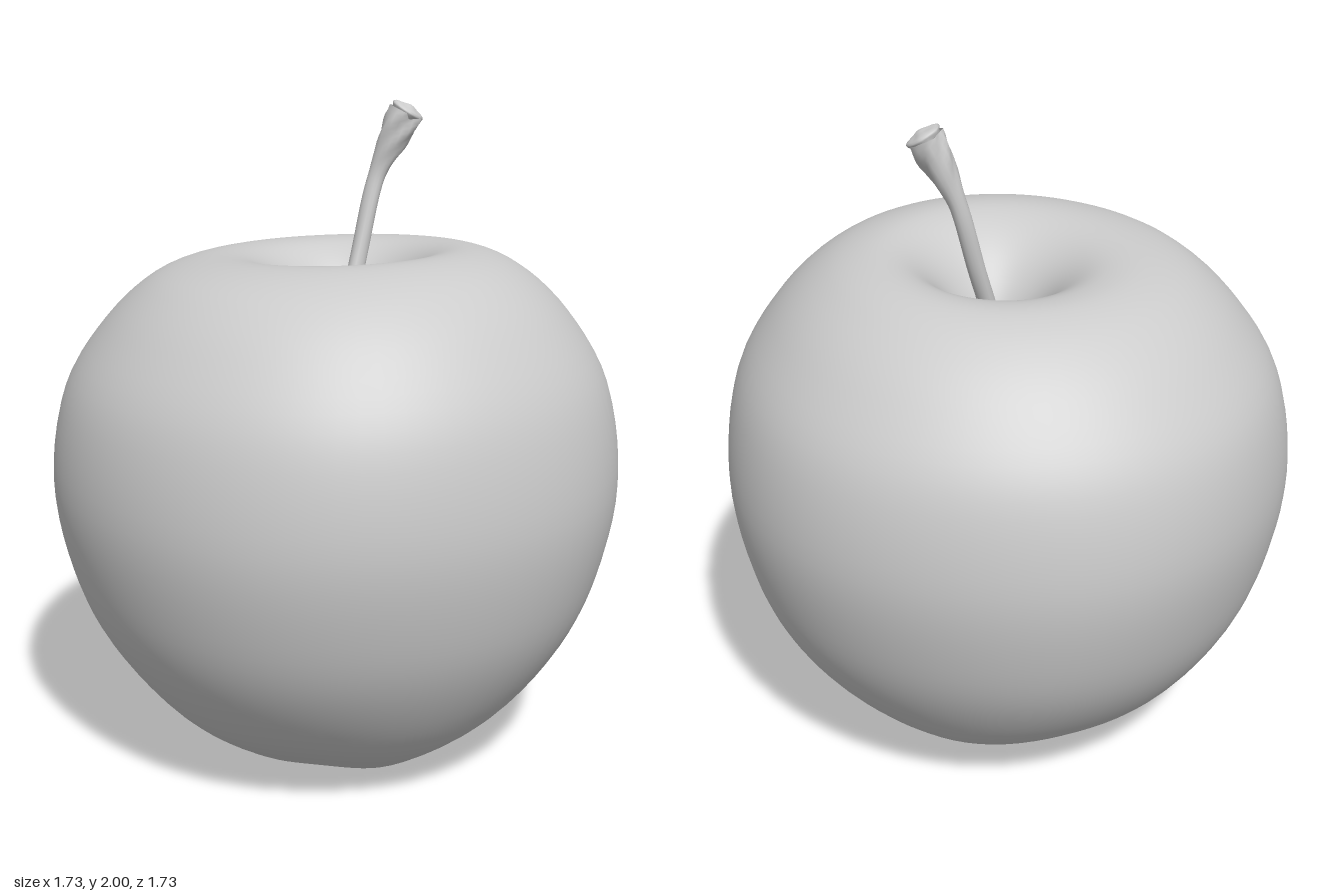
import * as THREE from 'three';
import { mergeVertices } from 'three/addons/utils/BufferGeometryUtils.js';

const grey = new THREE.MeshStandardMaterial({ color: 0xcccccc, side: THREE.DoubleSide });
const v2 = (x, y) => new THREE.Vector2(x, y);
const v3 = (x, y, z) => new THREE.Vector3(x, y, z);

// Moves every vertex by a rule, then welds seams for smooth normals
function reshape(geometry, rule) {
  const pos = geometry.attributes.position;
  const p = v3(0, 0, 0);
  for (let i = 0; i < pos.count; i++) {
    p.fromBufferAttribute(pos, i);
    rule(p, i);
    pos.setXYZ(i, p.x, p.y, p.z);
  }
  geometry.deleteAttribute('uv');
  geometry.deleteAttribute('normal');
  const welded = mergeVertices(geometry, 1e-4);
  welded.computeVertexNormals();
  return welded;
}

function add(group, name, geometry) {
  const mesh = new THREE.Mesh(geometry, grey);
  mesh.name = name;
  group.add(mesh);
  return mesh;
}

// Fruit: lathed profile from the lower hollow to the stem hollow
function fruitGeometry() {
  const profile = new THREE.SplineCurve([
    v2(0, 0.13), v2(0.07, 0.12), v2(0.13, 0.07), v2(0.2, 0.025), v2(0.27, 0.015),
    v2(0.37, 0.055), v2(0.57, 0.2), v2(0.73, 0.41), v2(0.82, 0.63), v2(0.863, 0.9),
    v2(0.82, 1.18), v2(0.7, 1.38), v2(0.56, 1.51), v2(0.42, 1.565), v2(0.3, 1.56),
    v2(0.2, 1.5), v2(0.12, 1.4), v2(0.06, 1.27), v2(0, 1.22),
  ]).getPoints(90);
  profile[0].x = profile[profile.length - 1].x = 0;
  return reshape(new THREE.LatheGeometry(profile, 80), (p) => {
    const r = Math.hypot(p.x, p.z);
    const a = Math.atan2(p.z, p.x);
    const top = THREE.MathUtils.smoothstep(p.y, 1.0, 1.5);
    const low = 1 - THREE.MathUtils.smoothstep(p.y, 0.05, 0.5);
    const rim = Math.min(1, r / 0.35);
    // Uneven shoulder, highest towards the left front
    p.y += top * rim * 0.022 * Math.cos(a - 0.5);
    // Soft lobes and a radially puckered base
    p.y += low * rim * (0.008 * Math.cos(5 * a) - 0.012 * Math.cos(a));
    const pucker = Math.exp(-(((r - 0.14) / 0.05) ** 2)) * low;
    p.y += pucker * 0.009 * Math.cos(10 * a + Math.sin(3 * a));
    const swell = 1 + 0.006 * Math.sin(5 * a + 2 * p.y) * Math.sin(Math.PI * Math.min(1, p.y / 1.6));
    p.x *= swell;
    p.z *= swell;
    // The stem hollow sits slightly behind the centre
    if (p.y > 1.1) p.z -= 0.08 * Math.max(0, 1 - r / 0.55);
  });
}

// Stem: tube along a curve, flaring to a rough cut end
function stemGeometry() {
  const path = new THREE.CatmullRomCurve3([
    v3(-0.01, 1.19, -0.05), v3(-0.012, 1.38, -0.105), v3(0, 1.57, -0.17),
    v3(0.025, 1.77, -0.225), v3(0.065, 1.88, -0.25), v3(0.1, 1.965, -0.27),
  ]);
  const rings = 48, sides = 16;
  return reshape(new THREE.TubeGeometry(path, rings, 1, sides), (p, i) => {
    const t = Math.floor(i / (sides + 1)) / rings;
    const a = ((i % (sides + 1)) / sides) * Math.PI * 2;
    const flare = THREE.MathUtils.smoothstep(t, 0.72, 0.98);
    const base = 1 - THREE.MathUtils.smoothstep(t, 0, 0.25);
    const bumps = 1 + 0.05 * Math.sin(3 * a + 9 * t) + 0.1 * flare * Math.sin(5 * a + 40 * t);
    const radius = (0.026 + 0.026 * flare + 0.012 * base) * bumps;
    const c = path.getPointAt(t);
    p.sub(c).multiplyScalar(radius).add(c);
  });
}

// Knobbly cap closing the cut end
function stemTipGeometry() {
  return reshape(new THREE.SphereGeometry(0.05, 20, 14), (p) => {
    p.multiplyScalar(1 + 0.09 * Math.sin(110 * p.x + 1) * Math.cos(95 * p.z) + 0.06 * Math.sin(120 * p.y));
    p.y *= 0.45;
  });
}

// Dried sepal: a thin tapering leaf curling down and inwards
function sepalGeometry() {
  return reshape(new THREE.PlaneGeometry(1, 1, 4, 8), (p) => {
    const t = p.y + 0.5;
    const across = p.x * 0.07 * (1 - t * 0.85);
    const along = 0.095 - 0.075 * t + 0.02 * Math.sin(t * 7);
    p.set(across, 0.115 - 0.07 * Math.sin(t * 2.2) + Math.abs(across) * 0.5, along);
  });
}

export function createModel() {
  const model = new THREE.Group();
  model.name = 'apple';

  add(model, 'fruit', fruitGeometry());
  add(model, 'stem', stemGeometry());
  const tip = add(model, 'stemTip', stemTipGeometry());
  tip.position.set(0.103, 1.966, -0.27);
  tip.rotation.set(-0.25, 0, -0.5);

  // Withered blossom in the lower hollow
  const calyx = new THREE.Group();
  calyx.name = 'calyx';
  const sepal = sepalGeometry();
  for (let i = 0; i < 7; i++) {
    const leaf = add(calyx, 'sepal', sepal);
    leaf.rotation.y = (i / 7) * Math.PI * 2 + 0.25 * Math.sin(i * 4);
    leaf.scale.setScalar(0.92 + 0.12 * Math.sin(i * 2.3));
  }
  const core = add(calyx, 'blossomCore', reshape(new THREE.SphereGeometry(0.045, 16, 10), (p) => {
    p.multiplyScalar(1 + 0.15 * Math.sin(130 * p.x) * Math.cos(120 * p.z));
  }));
  core.position.y = 0.105;
  model.add(calyx);

  return model;
}
